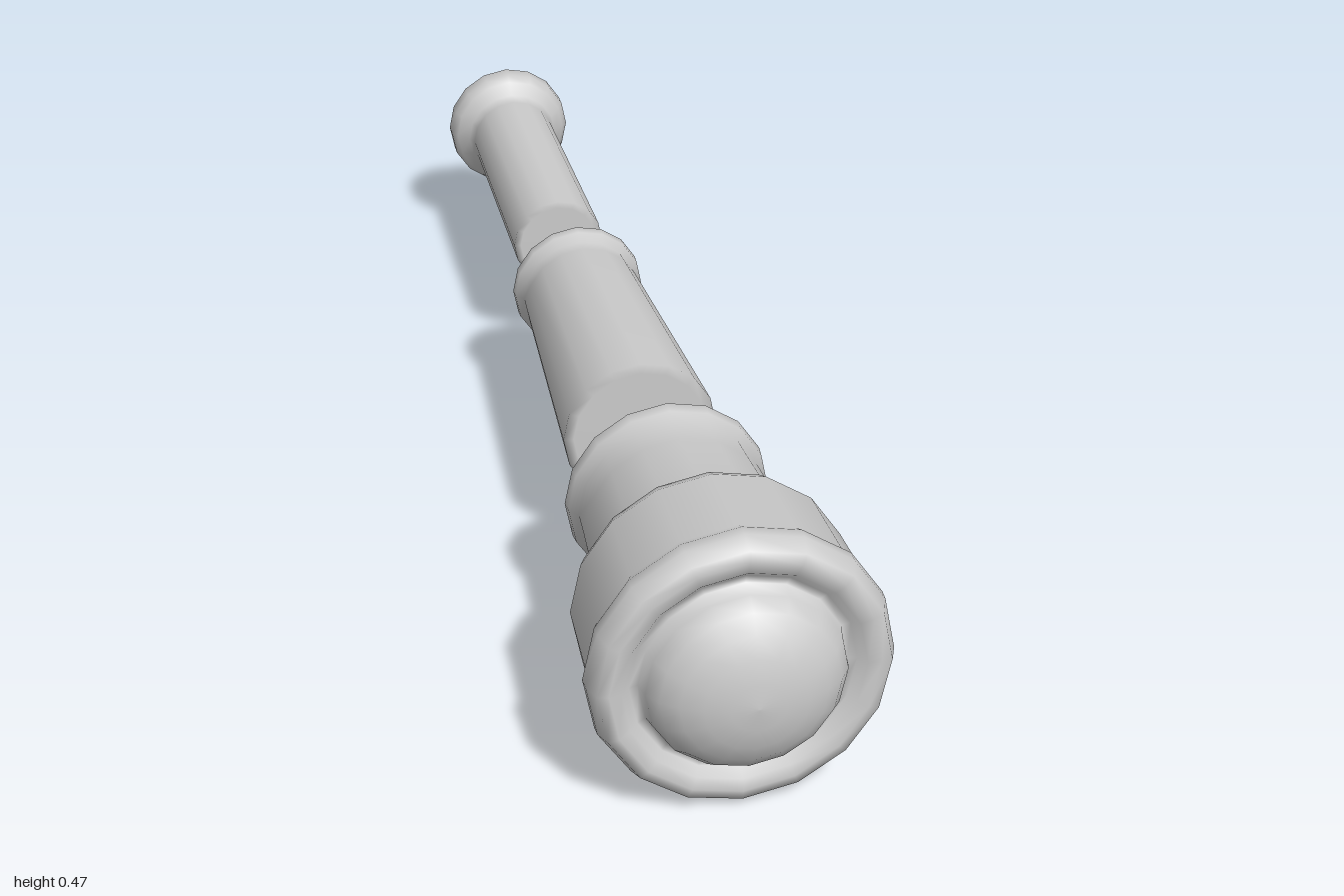
import * as THREE from 'three';

const SIDES = 16;
const AXIS_HEIGHT = 0.235;

// Turns a profile of [radius, z] pairs, listed back to front, around the long axis.
function turned(name, profile) {
  const points = profile.map(([r, z]) => new THREE.Vector2(r, z));
  const geometry = new THREE.LatheGeometry(points, SIDES);
  geometry.rotateX(Math.PI / 2);
  const mesh = new THREE.Mesh(geometry, new THREE.MeshStandardMaterial({ color: 0xcccccc }));
  mesh.name = name;
  mesh.position.y = AXIS_HEIGHT;
  return mesh;
}

// Domed lens points from the rim inwards to the tip.
function dome(radius, zBase, zTip, steps = 6) {
  return Array.from({ length: steps + 1 }, (_, i) => {
    const a = (i / steps) * Math.PI / 2;
    return [i === steps ? 0 : radius * Math.cos(a), zBase + (zTip - zBase) * Math.sin(a)];
  });
}

export function createModel() {
  const group = new THREE.Group();
  group.name = 'spyglass';

  // Large front section: lipped sleeve, flared housing, rounded rim and lens
  group.add(turned('objectiveSection', [
    [0, 0.397], [0.14, 0.397], [0.157, 0.4], [0.165, 0.411], [0.163, 0.432], [0.15, 0.45],
    [0.153, 0.5], [0.163, 0.64], [0.175, 0.652], [0.206, 0.682], [0.217, 0.705],
    [0.224, 0.855], [0.234, 0.875], [0.233, 0.893], [0.222, 0.922],
    [0.205, 0.926], [0.185, 0.922], [0.172, 0.908],
    ...dome(0.158, 0.905, 1.0),
  ]));

  // Tapered middle tube with a lip at its back end
  group.add(turned('middleTube', [
    [0, -0.303], [0.095, -0.303], [0.108, -0.3], [0.116, -0.29], [0.115, -0.272], [0.102, -0.258],
    [0.104, -0.23], [0.129, 0.225], [0.112, 0.226], [0, 0.226],
  ]));

  // Narrow eyepiece tube with a flared end and a small bulging lens
  const bulge = dome(0.066, -0.981, -1.0, 4).reverse();
  group.add(turned('eyepiece', [
    ...bulge,
    [0.078, -0.983], [0.09, -0.991], [0.106, -0.989], [0.115, -0.975], [0.115, -0.948],
    [0.105, -0.935], [0.085, -0.917], [0.078, -0.9],
    [0.082, -0.458], [0.07, -0.457], [0, -0.457],
  ]));

  return group;
}
